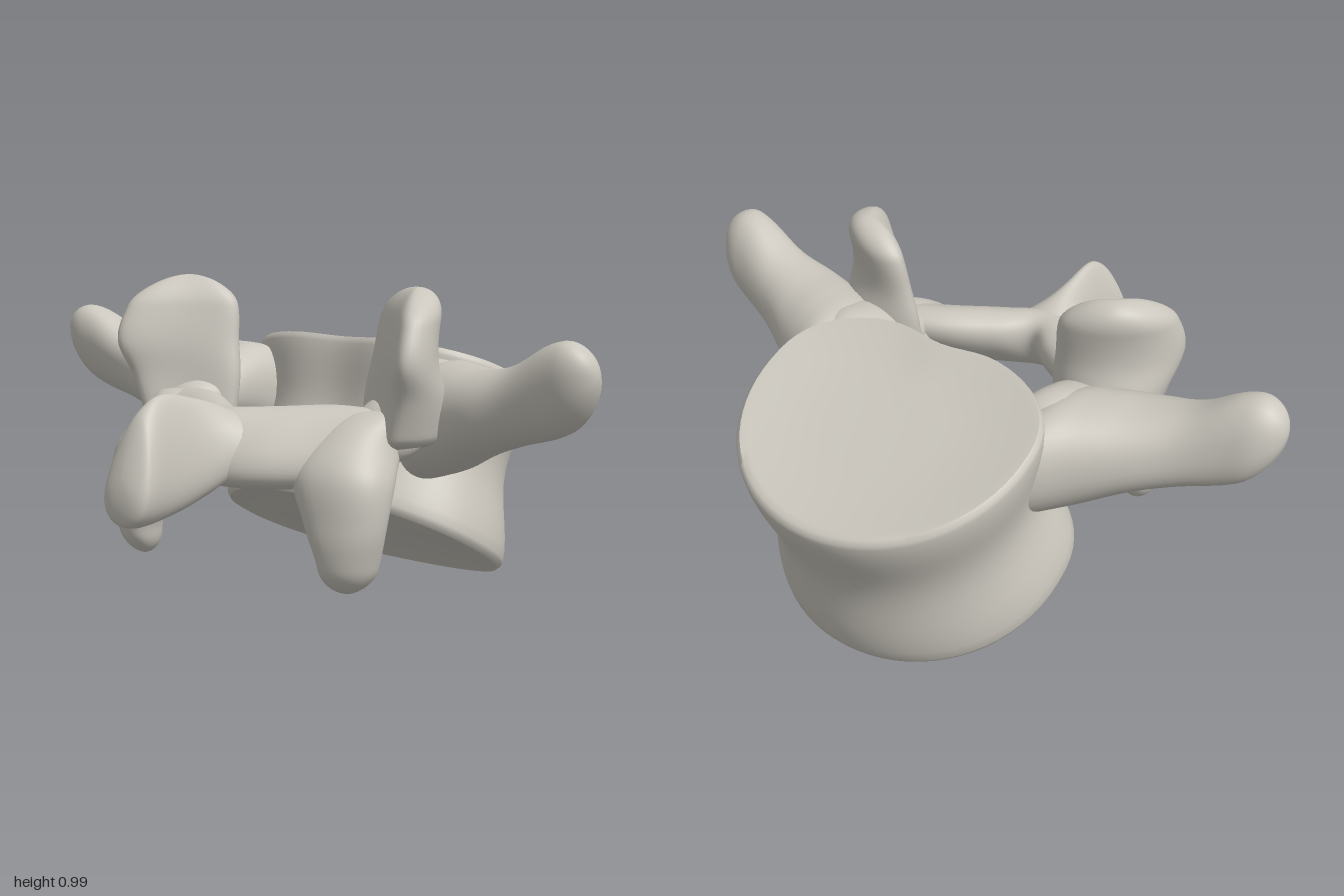
import * as THREE from 'three';
import { toCreasedNormals } from 'three/addons/utils/BufferGeometryUtils.js';

const SIDES = 40;

// Signed power, for superellipse outlines
const spow = (v, p) => Math.sign(v) * Math.abs(v) ** p;

// Closed skin over a list of rings, each an array of Vector3; faces always point outward
function skin(rings) {
  const all = rings.flat();
  const n = rings[0].length;
  const index = [];
  for (let i = 0; i < rings.length - 1; i++) {
    for (let j = 0; j < n; j++) {
      const a = i * n + j, b = i * n + ((j + 1) % n);
      index.push(a, b, b + n, a, b + n, a + n);
    }
  }
  let volume = 0;
  for (let k = 0; k < index.length; k += 3) {
    volume += all[index[k]].dot(all[index[k + 1]].clone().cross(all[index[k + 2]]));
  }
  if (volume < 0) index.reverse();
  const geo = new THREE.BufferGeometry().setFromPoints(all);
  geo.setIndex(index);
  geo.computeVertexNormals();
  return geo;
}

// Rounded limb through sections [centre, half axis U, half axis V]
// mirror: x sign, bend: curls the U ends toward V, taper: thins the +U side
function limb(sections, { mirror = 1, bend = 0, taper = 0, end = 0.15 } = {}) {
  const curve = (k) => new THREE.CatmullRomCurve3(
    sections.map((s) => new THREE.Vector3(s[k][0] * mirror, s[k][1], s[k][2])), false, 'catmullrom', 0.5);
  const [centre, axisU, axisV] = [0, 1, 2].map(curve);
  // Steps crowd toward both ends so the caps are round
  const steps = 48;
  const rings = [];
  for (let i = 0; i <= steps; i++) {
    const s = (1 - Math.cos((Math.PI * i) / steps)) / 2;
    const d = Math.min(1, s / 0.08, (1 - s) / end);
    const size = Math.sqrt(Math.max(0, 1 - (1 - d) ** 2));
    const c = centre.getPoint(s), u = axisU.getPoint(s), v = axisV.getPoint(s);
    rings.push(Array.from({ length: SIDES }, (_, j) => {
      const t = (j / SIDES) * Math.PI * 2;
      const a = spow(Math.cos(t), 0.9);
      const b = spow(Math.sin(t), 0.9) * (1 - taper * a) + bend * (a * a - 0.4);
      return c.clone().addScaledVector(u, a * size).addScaledVector(v, b * size);
    }));
  }
  return skin(rings);
}

// Vertebral body: kidney-shaped rings, tilted, waisted, with rounded rims and dished end faces
function bodyGeometry() {
  const n = 72;
  const ring = (f, scale, lift = 0) => {
    const y = 0.22 + 0.493 * f + lift, z = -0.23 - 0.17 * f - 0.02 * Math.sin(Math.PI * f);
    const w = 0.475 - 0.015 * f, slope = 0.215 - 0.052 * f;
    return Array.from({ length: n }, (_, j) => {
      const t = (j / n) * Math.PI * 2;
      const a = Math.cos(t), sn = Math.sin(t);
      const notch = 0.09 * Math.exp(-((a / 0.3) ** 2));
      const b = sn > 0 ? 0.7 * sn ** 0.75 - notch * sn : sn;
      // The sides of the lower rim hang slightly
      const sag = 0.025 * a * a * (1 - f);
      return new THREE.Vector3(w * a * scale, y - sag + slope * b * scale, z + 0.41 * b * scale);
    });
  };
  const rings = [[0, 0.03], [0.4, 0.026], [0.75, 0.014], [0.92, 0]].map(([s, l]) => ring(0, s, l));
  rings.push(ring(0, 0.965, -0.006), ring(0.012, 0.99));
  for (let i = 0; i <= 16; i++) {
    const f = 0.035 + (i / 16) * 0.93;
    rings.push(ring(f, 1 - 0.085 * Math.sin(Math.PI * (i / 16)) ** 2 - 0.02 * Math.sin(Math.PI * f)));
  }
  rings.push(ring(0.988, 0.995), ring(1, 0.97, 0.006));
  rings.push(...[[0.92, 0.004], [0.75, -0.012], [0.4, -0.02], [0, -0.022]].map(([s, l]) => ring(1, s, l)));
  return toCreasedNormals(skin(rings), 0.8);
}

export function createModel() {
  const model = new THREE.Group();
  model.name = 'vertebra';
  const bone = new THREE.MeshStandardMaterial({ color: 0xcac6bd });
  bone.name = 'bone';
  const add = (name, geo) => {
    const mesh = new THREE.Mesh(geo, bone);
    mesh.name = name;
    model.add(mesh);
  };

  add('vertebralBody', bodyGeometry());

  // Paired parts, built once for each side
  for (const [side, mirror] of [['left', 1], ['right', -1]]) {
    // Bridge from the body back to the arch
    add(side + 'Pedicle', limb([
      [[0.29, 0.52, -0.36], [0, 0.10, 0], [0.10, 0, 0]],
      [[0.36, 0.61, -0.18], [0, 0.155, 0], [0.11, 0, 0]],
      [[0.385, 0.64, -0.04], [0, 0.12, 0], [0.115, 0, 0]],
      [[0.395, 0.62, 0.08], [0, 0.09, -0.01], [0.12, 0, 0]],
      [[0.39, 0.57, 0.22], [0, 0.09, 0], [0.11, 0, 0]],
    ], { mirror }));

    // Side wing, flared where it leaves the body
    add(side + 'TransverseWing', limb([
      [[0.31, 0.56, -0.19], [0, 0.16, 0], [0, 0, 0.21]],
      [[0.40, 0.60, -0.14], [0, 0.17, 0], [0, 0, 0.22]],
      [[0.50, 0.62, -0.085], [0, 0.155, 0.01], [0, 0, 0.185]],
      [[0.62, 0.65, -0.035], [0, 0.125, 0.02], [0, 0, 0.15]],
      [[0.74, 0.685, -0.005], [0, 0.115, 0.025], [0, 0, 0.108]],
      [[0.87, 0.74, 0.02], [0, 0.13, 0.025], [0, 0, 0.085]],
      [[1.0, 0.785, 0.04], [0, 0.105, 0.02], [0, 0, 0.075]],
    ], { mirror, end: 0.13 }));

    // Upright curved blade with its hollow facing inward and forward
    add(side + 'UpperFacet', limb([
      [[0.40, 0.54, 0.10], [0.11, 0, 0.08], [-0.06, 0, 0.08]],
      [[0.42, 0.69, 0.105], [0.135, 0, 0.10], [-0.06, 0, 0.07]],
      [[0.435, 0.80, 0.125], [0.14, 0, 0.125], [-0.05, 0, 0.055]],
      [[0.435, 0.90, 0.105], [0.13, 0, 0.115], [-0.045, 0, 0.05]],
      [[0.44, 1.0, 0.07], [0.10, 0, 0.08], [-0.045, 0, 0.05]],
    ], { mirror, bend: 0.6, end: 0.22 }));

    // Hanging prong, joined to the arch above
    add(side + 'LowerFacet', limb([
      [[0.39, 0.65, 0.11], [0.09, 0, 0], [0, 0.02, 0.08]],
      [[0.355, 0.575, 0.20], [0.11, 0, 0], [0, 0.04, 0.10]],
      [[0.36, 0.475, 0.30], [0.145, 0, -0.01], [0, 0.03, 0.105]],
      [[0.395, 0.36, 0.335], [0.11, 0, -0.02], [0, 0, 0.085]],
      [[0.405, 0.26, 0.335], [0.078, 0, -0.02], [0, 0, 0.075]],
      [[0.395, 0.165, 0.325], [0.06, 0, -0.015], [0, 0, 0.06]],
    ], { mirror }));
  }

  // Broad sloping arch across the back of the canal
  const half = [
    [[0.42, 0.56, 0.20], [0, 0.09, -0.08], [0.02, 0.02, 0.08]],
    [[0.25, 0.555, 0.275], [0, 0.105, -0.10], [0.035, 0.03, 0.07]],
    [[0.11, 0.55, 0.36], [0, 0.105, -0.085], [0.035, 0.03, 0.07]],
  ];
  const flip = ([c, u, v]) => [[-c[0], c[1], c[2]], u, [-v[0], v[1], v[2]]];
  add('lamina', limb([
    ...half,
    [[0, 0.55, 0.41], [0, 0.105, -0.05], [0, 0.02, 0.08]],
    ...half.map(flip).reverse(),
  ], { end: 0.08 }));

  // Central fin, flared at the arch, thin along the top and thick at the lower tip
  add('spinousFin', limb([
    [[0, 0.56, 0.36], [0, 0.07, -0.01], [0.22, 0, 0]],
    [[0, 0.565, 0.44], [0, 0.105, -0.01], [0.125, 0, 0]],
    [[0, 0.555, 0.53], [0, 0.145, 0], [0.072, 0, 0]],
    [[0, 0.55, 0.64], [0, 0.17, 0], [0.06, 0, 0]],
    [[0, 0.53, 0.74], [0, 0.16, -0.03], [0.075, 0, 0]],
    [[0, 0.51, 0.80], [0, 0.11, -0.03], [0.075, 0, 0]],
  ], { taper: 0.4, end: 0.14 }));

  return model;
}
